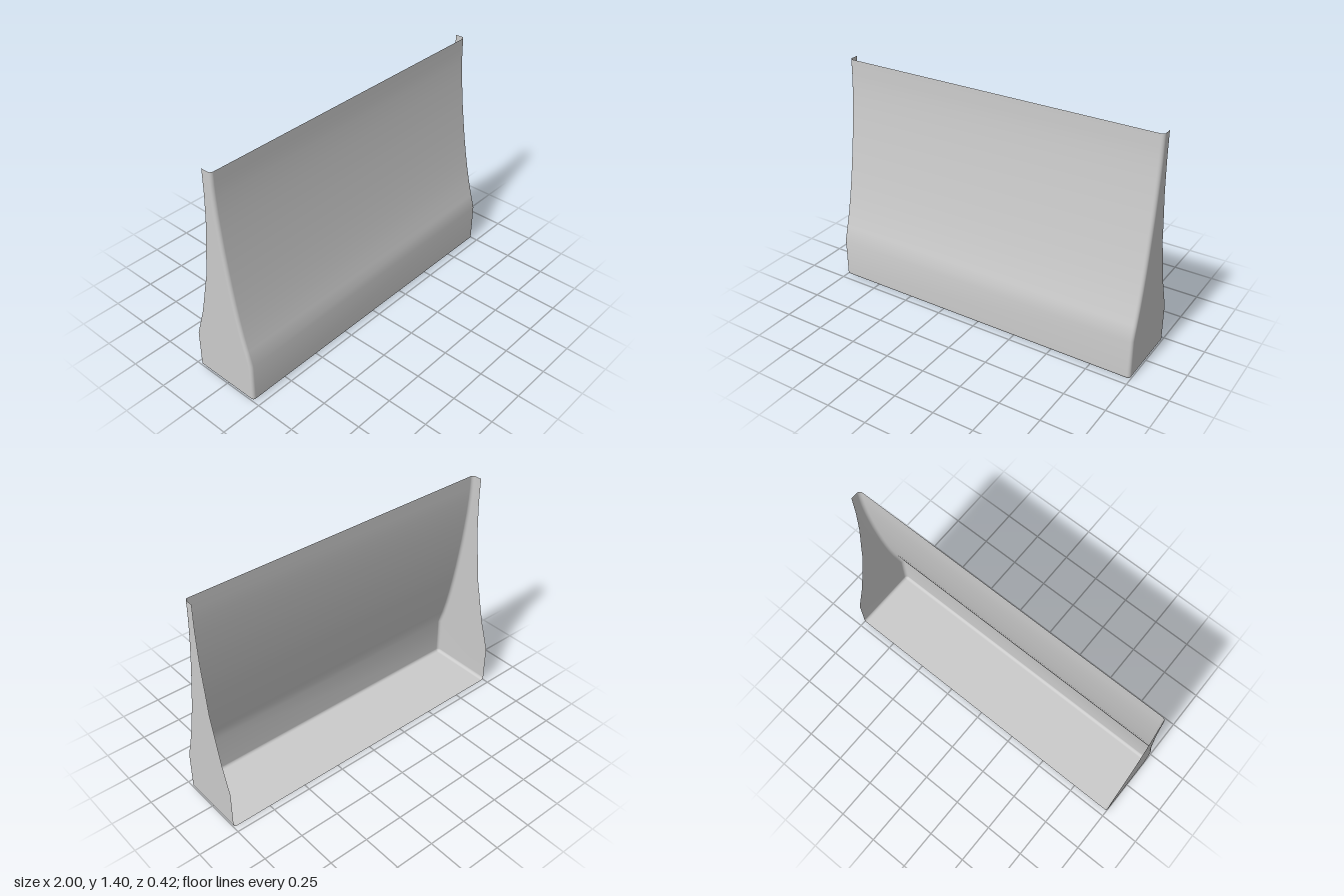
import * as THREE from 'three';
import { mergeVertices } from 'three/addons/utils/BufferGeometryUtils.js';

const R = 0.02;      // radius of the rounded outer edges
const STEPS = 5;     // segments per rounded edge

// Side profile above the base: height, front z, back z
const PROFILE = [
  [0.25, 0.21, -0.21], [0.34, 0.184, -0.181], [0.43, 0.159, -0.152],
  [0.53, 0.136, -0.128], [0.63, 0.116, -0.106], [0.737, 0.097, -0.081],
  [0.84, 0.081, -0.07], [0.95, 0.065, -0.056], [1.05, 0.053, -0.044],
  [1.15, 0.042, -0.038], [1.25, 0.034, -0.033], [1.32, 0.031, -0.033],
  [1.4, 0.03, -0.033],
];

// U-shaped section, open at the back, running from the right side round the front to the left side
function section(y, front, back, inset = 0) {
  const r = R - inset, x = 1 - R, z = front - R;
  const half = [[1 - inset, back]];
  for (let k = 0; k <= STEPS; k++) {
    const a = (k / STEPS) * Math.PI / 2;
    half.push([x + r * Math.cos(a), z + r * Math.sin(a)]);
  }
  const mirrored = half.map(([px, pz]) => [-px, pz]);
  return [...mirrored, ...half.reverse()].map(([px, pz]) => [px, y, pz]);
}

function shellGeometry() {
  const [, front, back] = PROFILE[0];
  const rows = [];
  // Floor: the lowest section is drawn back to the open rear edge
  rows.push(section(0, front, back, R).map(([x, y]) => [x, y, back]));
  // Rounded bottom edge
  for (let k = 0; k <= STEPS; k++) {
    const a = (k / STEPS) * Math.PI / 2;
    const inset = R * (1 - Math.sin(a));
    rows.push(section(R * (1 - Math.cos(a)), front, back, inset));
  }
  // Upright base and the curved taper above it
  for (const [y, f, b] of PROFILE) rows.push(section(y, f, b));

  const n = rows[0].length, index = [];
  for (let j = 0; j < rows.length - 1; j++) {
    for (let i = 0; i < n - 1; i++) {
      const a = j * n + i, b = a + 1, c = b + n, d = a + n;
      index.push(a, b, c, a, c, d);
    }
  }
  const raw = new THREE.BufferGeometry();
  raw.setAttribute('position', new THREE.Float32BufferAttribute(rows.flat(2), 3));
  raw.setIndex(index);
  const geometry = mergeVertices(raw, 1e-5);
  geometry.computeVertexNormals();
  return geometry;
}

export function createModel() {
  const group = new THREE.Group();
  group.name = 'taperedPanel';
  // Thin shell: front, two sides and floor, open at the top and back
  const material = new THREE.MeshStandardMaterial({ color: 0xcccccc, side: THREE.DoubleSide });
  const shell = new THREE.Mesh(shellGeometry(), material);
  shell.name = 'panelShell';
  group.add(shell);
  return group;
}
